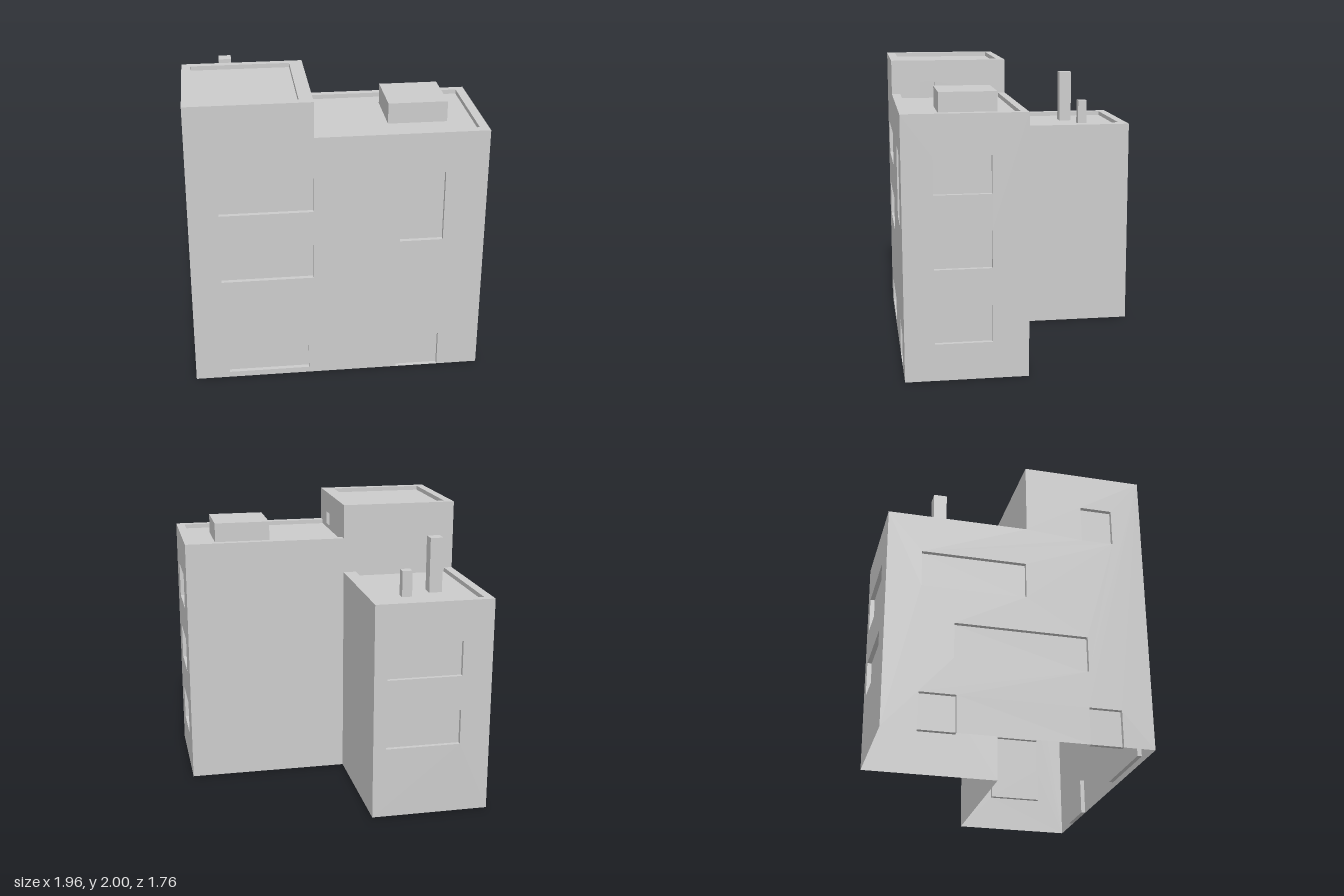
import * as THREE from 'three';

const material = new THREE.MeshStandardMaterial({ color: 0xcccccc, flatShading: true, side: THREE.DoubleSide });
const DEPTH = 0.03;

// Flat panel facing local +z. Each opening is [u0, u1, v0, v1] and becomes a shallow recess;
// "holes" are cut from the panel, "notches" are already part of the outline.
function panel(name, outline, holes = [], notches = []) {
  const group = new THREE.Group();
  group.name = name;
  const shape = new THREE.Shape(outline.map(([u, v]) => new THREE.Vector2(u, v)));
  for (const [a, b, c, d] of holes) {
    shape.holes.push(new THREE.Path([[a, c], [a, d], [b, d], [b, c]].map(([u, v]) => new THREE.Vector2(u, v))));
  }
  const face = new THREE.Mesh(new THREE.ShapeGeometry(shape), material);
  face.name = name + 'Face';
  group.add(face);
  for (const [a, b, c, d] of [...holes, ...notches]) {
    const geo = new THREE.BoxGeometry(b - a, d - c, DEPTH);
    // Drop the front face and turn the others inward
    const index = Array.from(geo.index.array);
    index.splice(24, 6);
    geo.setIndex(index.reverse());
    geo.computeVertexNormals();
    const recess = new THREE.Mesh(geo, material);
    recess.position.set((a + b) / 2, (c + d) / 2, -DEPTH / 2);
    recess.name = name + 'Recess';
    group.add(recess);
  }
  return group;
}

const rect = (a, b, c, d) => [[a, c], [b, c], [b, d], [a, d]];

function block(name, x0, x1, y0, y1, z0, z1) {
  const mesh = new THREE.Mesh(new THREE.BoxGeometry(x1 - x0, y1 - y0, z1 - z0), material);
  mesh.position.set((x0 + x1) / 2, (y0 + y1) / 2, (z0 + z1) / 2);
  mesh.name = name;
  return mesh;
}

export function createModel() {
  const model = new THREE.Group();
  model.name = 'building';

  const place = (part, x, y, z, turn = 0, tilt = 0) => {
    part.position.set(x, y, z);
    part.rotation.set(tilt, turn, 0);
    model.add(part);
  };

  // Front wall with windows and a door
  place(panel('frontWall',
    [[-0.98, 0], [0.41, 0], [0.41, 0.25], [0.7, 0.25], [0.7, 0], [0.98, 0],
      [0.98, 1.76], [-0.16, 1.76], [-0.16, 2], [-0.98, 2]],
    [[-0.78, -0.165, 1.24, 1.48], [-0.78, -0.165, 0.75, 1], [-0.75, -0.2, 0.04, 0.22], [0.41, 0.7, 0.99, 1.48]],
    [[0.41, 0.7, 0, 0.25]]), 0, 0, 0.88);

  // End wall of the side wing, three stacked windows
  place(panel('endWall', rect(-0.88, -0.06, 0, 1.76),
    [0.25, 0.75, 1.24].map((y) => [-0.68, -0.3, y, y + 0.25])), 0.98, 0, 0, Math.PI / 2);

  // Long wall along the tower and back wing
  place(panel('longWall',
    [[-0.88, 0], [-0.65, 0], [-0.65, 0.25], [-0.41, 0.25], [-0.41, 0], [0.45, 0], [0.45, 0.25], [0.67, 0.25],
      [0.67, 0], [0.88, 0], [0.88, 2], [0.06, 2], [0.06, 1.51], [-0.88, 1.51]],
    [[-0.43, 0.46, 0.5, 0.745], [-0.65, 0.05, 0.99, 1.24], [0.45, 0.67, 1.48, 1.74]],
    [[-0.65, -0.41, 0, 0.25], [0.45, 0.67, 0, 0.25]]), -0.98, 0, 0, -Math.PI / 2);

  // Back wing: rear wall with two windows, plain inner wall
  place(panel('rearWall', rect(0.16, 0.98, 0, 1.51),
    [0.495, 0.985].map((y) => [0.25, 0.77, y, y + 0.245])), 0, 0, -0.88, Math.PI);
  place(panel('innerWall', rect(-0.06, 0.88, 0, 1.51)), -0.16, 0, 0, Math.PI / 2);

  // Rear of the side wing, and the tower walls above the lower roofs
  place(panel('wingRearWall', rect(-0.98, 0.16, 0, 1.76)), 0, 0, 0.06, Math.PI);
  place(panel('towerRearWall', rect(0.16, 0.98, 1.48, 2)), 0, 0, 0.06, Math.PI);
  place(panel('towerSideWall',
    [[-0.88, 1.73], [-0.68, 1.73], [-0.68, 1.85], [-0.57, 1.85], [-0.57, 1.73], [-0.06, 1.73], [-0.06, 2], [-0.88, 2]],
    [], [[-0.68, -0.57, 1.73, 1.85]]), -0.16, 0, 0, Math.PI / 2);

  // Roofs with a raised rim; local v runs along -z
  const flat = -Math.PI / 2;
  place(panel('towerRoof', rect(-0.98, -0.16, -0.88, -0.06), [[-0.92, -0.25, -0.82, -0.11]]), 0, 2, 0, 0, flat);
  place(panel('sideRoof',
    [[-0.16, -0.88], [0.98, -0.88], [0.98, -0.06], [-0.16, -0.06], [-0.16, -0.11], [0.92, -0.11], [0.92, -0.82], [-0.16, -0.82]],
    [], [[-0.16, 0.92, -0.82, -0.11]]), 0, 1.76, 0, 0, flat);
  place(panel('backRoof',
    [[-0.98, -0.06], [-0.92, -0.06], [-0.92, 0.82], [-0.25, 0.82], [-0.25, -0.06], [-0.16, -0.06], [-0.16, 0.88], [-0.98, 0.88]],
    [], [[-0.92, -0.25, -0.06, 0.82]]), 0, 1.51, 0, 0, flat);

  // Roof box and chimneys
  model.add(block('roofBox', 0.355, 0.75, 1.73, 1.87, 0.235, 0.62));
  model.add(block('tallChimney', -0.72, -0.63, 1.48, 1.86, -0.53, -0.44));
  model.add(block('shortChimney', -0.485, -0.415, 1.48, 1.66, -0.61, -0.545));

  return model;
}
